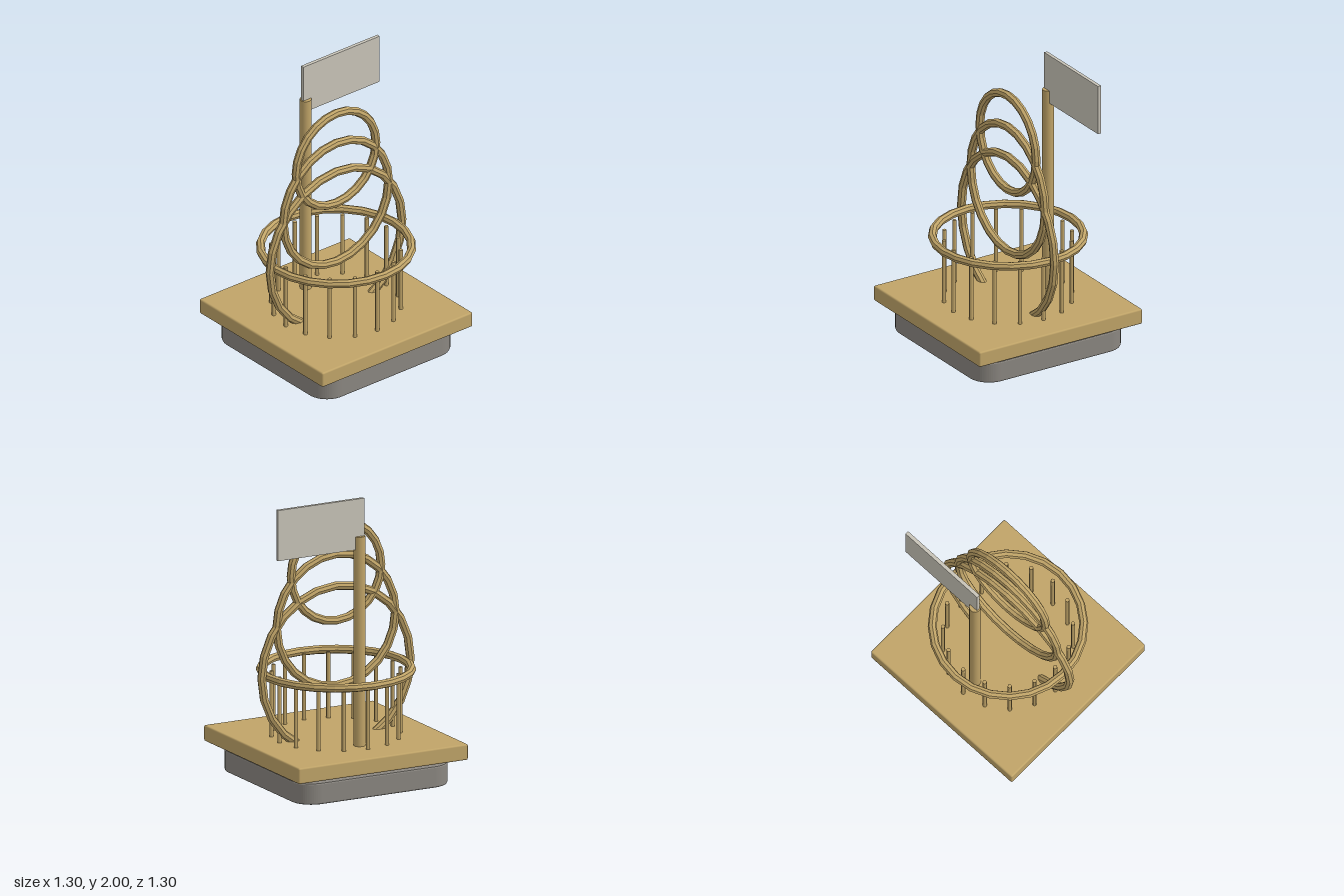
import * as THREE from 'three';
import { RoundedBoxGeometry } from 'three/addons/geometries/RoundedBoxGeometry.js';

export function createModel() {
  const model = new THREE.Group();
  const wood = new THREE.MeshStandardMaterial({ color: 0xc0a468 });
  const woodFlat = new THREE.MeshStandardMaterial({ color: 0xc0a468, flatShading: true });
  const stone = new THREE.MeshStandardMaterial({ color: 0x8a8680 });
  const cloth = new THREE.MeshStandardMaterial({ color: 0xc8c4b8 });

  function add(name, geometry, material, x = 0, y = 0, z = 0) {
    const mesh = new THREE.Mesh(geometry, material);
    mesh.name = name;
    mesh.position.set(x, y, z);
    model.add(mesh);
    return mesh;
  }

  // Rod standing between two heights
  function rod(name, radius, bottom, top, x, z, sides) {
    const geometry = new THREE.CylinderGeometry(radius, radius, top - bottom, sides);
    return add(name, geometry, wood, x, (bottom + top) / 2, z);
  }

  // Faceted hoop given by its outer radius
  const tube = 0.03;
  function hoop(name, outer, y) {
    return add(name, new THREE.TorusGeometry(outer - tube, tube, 8, 24), woodFlat, 0, y, 0);
  }

  // Foot: square with rounded corners in plan and a fine bevel
  const half = 0.575, corner = 0.14, bevel = 0.012;
  const plan = new THREE.Shape();
  const inner = half - corner;
  plan.absarc(inner, inner, corner, 0, Math.PI / 2);
  plan.absarc(-inner, inner, corner, Math.PI / 2, Math.PI);
  plan.absarc(-inner, -inner, corner, Math.PI, Math.PI * 1.5);
  plan.absarc(inner, -inner, corner, Math.PI * 1.5, Math.PI * 2);
  const footGeometry = new THREE.ExtrudeGeometry(plan, {
    depth: 0.15 - 2 * bevel, bevelSize: bevel, bevelThickness: bevel, bevelSegments: 2, curveSegments: 8,
  });
  footGeometry.rotateX(-Math.PI / 2);
  add('foot', footGeometry, stone, 0, bevel, 0);

  // Platform and the disc set into its underside
  add('platform', new RoundedBoxGeometry(1.3, 0.11, 1.3, 2, 0.012), wood, 0, 0.235, 0);
  add('undersideDisc', new THREE.CylinderGeometry(0.4, 0.39, 0.03, 24), wood, 0, 0.185, 0);

  // Three upright hoops, overlapping as they climb
  hoop('largeHoop', 0.6, 0.75);
  hoop('middleHoop', 0.485, 1.085);
  hoop('smallHoop', 0.375, 1.425);

  // Railing: a level hoop with a circle of thin posts
  hoop('railing', 0.537, 0.745).rotation.x = -Math.PI / 2;
  const posts = 16;
  for (let i = 0; i < posts; i++) {
    const a = (i / posts) * Math.PI * 2;
    rod('railingPost', 0.014, 0.2, 0.745, 0.435 * Math.sin(a), 0.435 * Math.cos(a), 8);
  }

  // Mast and flag
  rod('mast', 0.04, 0.15, 1.74, 0, -0.32, 16);
  add('flag', new THREE.BoxGeometry(0.66, 0.35, 0.025), cloth, 0.3, 1.825, -0.32);

  return model;
}
